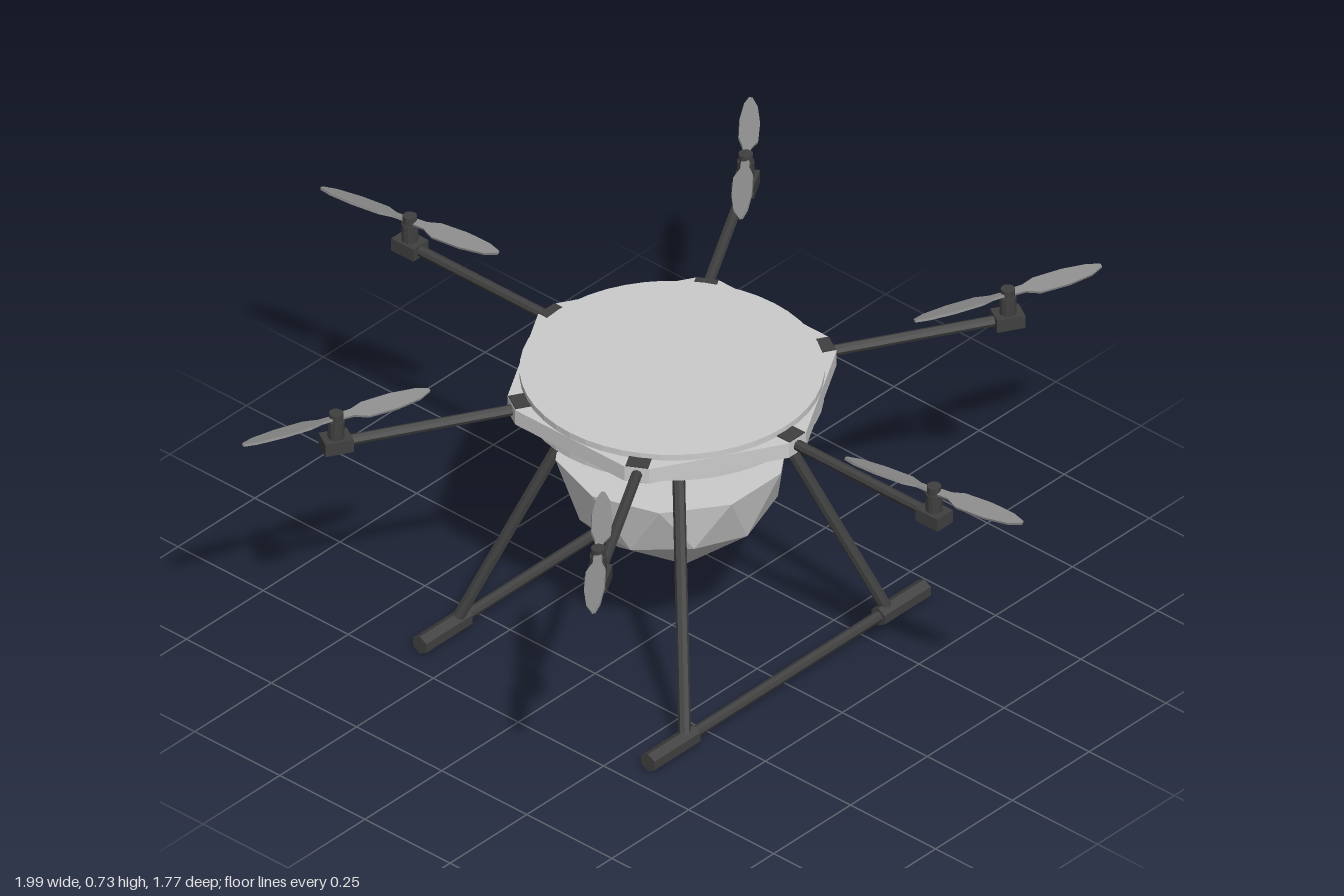
import * as THREE from 'three';
import { ConvexGeometry } from 'three/addons/geometries/ConvexGeometry.js';

const mat = (color) => new THREE.MeshStandardMaterial({ color, flatShading: true });
const grey = mat(0xcccccc), dark = mat(0x404040), bladeGrey = mat(0x8c8c8c);

function add(parent, name, geometry, material, x = 0, y = 0, z = 0) {
  const mesh = new THREE.Mesh(geometry, material);
  mesh.name = name;
  mesh.position.set(x, y, z);
  parent.add(mesh);
  return mesh;
}

// Round bar between two points
function bar(parent, name, from, to, radius, sides = 8) {
  const a = new THREE.Vector3(...from), b = new THREE.Vector3(...to);
  const dir = b.clone().sub(a);
  const mesh = add(parent, name, new THREE.CylinderGeometry(radius, radius, dir.length(), sides), dark);
  mesh.position.copy(a).add(b).multiplyScalar(0.5);
  mesh.quaternion.setFromUnitVectors(new THREE.Vector3(0, 1, 0), dir.normalize());
  return mesh;
}

// Thin leaf-shaped propeller blade pointing along +x
function bladeGeometry() {
  const s = new THREE.Shape();
  s.moveTo(0.01, -0.009);
  s.lineTo(0.04, -0.01);
  s.lineTo(0.07, -0.024);
  s.lineTo(0.14, -0.025);
  s.lineTo(0.2, -0.017);
  s.lineTo(0.229, -0.004);
  s.lineTo(0.229, 0.004);
  s.lineTo(0.2, 0.014);
  s.lineTo(0.14, 0.021);
  s.lineTo(0.07, 0.02);
  s.lineTo(0.04, 0.01);
  s.lineTo(0.01, 0.009);
  const g = new THREE.ExtrudeGeometry(s, { depth: 0.006, bevelEnabled: false });
  g.translate(0, 0, -0.003);
  g.rotateX(-Math.PI / 2 + 0.25);
  return g;
}

// Lower half of a faceted sphere with a flat top
function bowlGeometry(R) {
  const pts = [];
  const ring = (n, r, y, offset) => {
    for (let i = 0; i < n; i++) {
      const a = offset + (i * 2 * Math.PI) / n;
      pts.push(new THREE.Vector3(Math.cos(a) * r * R, y * R, Math.sin(a) * r * R));
    }
  };
  ring(10, 1, 0, Math.PI / 2);
  ring(5, 0.894, -0.447, Math.PI);
  ring(5, 0.851, -0.526, 0);
  ring(5, 0.526, -0.851, Math.PI);
  ring(1, 0, -1, 0);
  return new ConvexGeometry(pts);
}

// Six-sided core with clipped corners, lying between the two discs
function coreGeometry() {
  const s = new THREE.Shape();
  for (let i = 0; i < 6; i++) {
    for (const side of [-1, 1]) {
      const a = (i * Math.PI) / 3 + side * 0.075;
      const r = 0.333 / Math.cos(Math.PI / 6 - 0.075);
      const x = Math.cos(a) * r, y = Math.sin(a) * r;
      if (i === 0 && side === -1) s.moveTo(x, y);
      else s.lineTo(x, y);
    }
  }
  const g = new THREE.ExtrudeGeometry(s, { depth: 0.038, bevelEnabled: false });
  g.rotateX(-Math.PI / 2);
  return g;
}

export function createModel() {
  const model = new THREE.Group();
  model.name = 'hexacopter';

  // Body plates
  add(model, 'topPlate', new THREE.CylinderGeometry(0.333, 0.333, 0.015, 48), grey, 0, 0.6755);
  add(model, 'bottomPlate', new THREE.CylinderGeometry(0.333, 0.333, 0.015, 48), grey, 0, 0.6225);
  add(model, 'bodyCore', coreGeometry(), grey, 0, 0.63);

  // Six arms with motors and propellers
  const blade = bladeGeometry();
  for (let i = 0; i < 6; i++) {
    const arm = new THREE.Group();
    arm.name = 'arm';
    arm.rotation.y = (i * Math.PI) / 3;
    add(arm, 'armMount', new THREE.BoxGeometry(0.045, 0.042, 0.05), dark, 0.345, 0.65);
    bar(arm, 'armTube', [0.3, 0.65, 0], [0.78, 0.65, 0], 0.0125);
    add(arm, 'motorBase', new THREE.BoxGeometry(0.065, 0.032, 0.05), dark, 0.77, 0.65);
    add(arm, 'motor', new THREE.CylinderGeometry(0.019, 0.019, 0.05, 12), dark, 0.77, 0.685);

    const propeller = new THREE.Group();
    propeller.name = 'propeller';
    propeller.position.set(0.77, 0.716, 0);
    propeller.rotation.y = 0.164;
    add(propeller, 'propellerHub', new THREE.CylinderGeometry(0.016, 0.016, 0.026, 12), dark);
    for (const turn of [0, Math.PI]) add(propeller, 'blade', blade, bladeGrey).rotation.y = turn;
    arm.add(propeller);
    model.add(arm);
  }

  // Faceted payload bowl, its hangers and the packs on top
  add(model, 'payloadBowl', bowlGeometry(0.26), grey, 0, 0.476);
  for (const s of [-1, 1]) {
    bar(model, 'hangerPost', [s * 0.1, 0.47, 0.005], [s * 0.1, 0.62, 0.005], 0.031, 12);
    add(model, 'batteryPack', new THREE.BoxGeometry(0.066, 0.09, 0.1), dark, s * 0.037, 0.517, -0.082);
  }

  // Landing gear
  for (const sx of [-1, 1]) {
    bar(model, 'skid', [sx * 0.335, 0.024, -0.32], [sx * 0.335, 0.024, 0.32], 0.013);
    for (const sz of [-1, 1]) {
      bar(model, 'leg', [sx * 0.13, 0.62, sz * 0.125], [sx * 0.335, 0.028, sz * 0.33], 0.014);
      bar(model, 'skidFoot', [sx * 0.335, 0.0225, sz * 0.3], [sx * 0.335, 0.0225, sz * 0.45], 0.0225, 6);
    }
  }
  return model;
}
